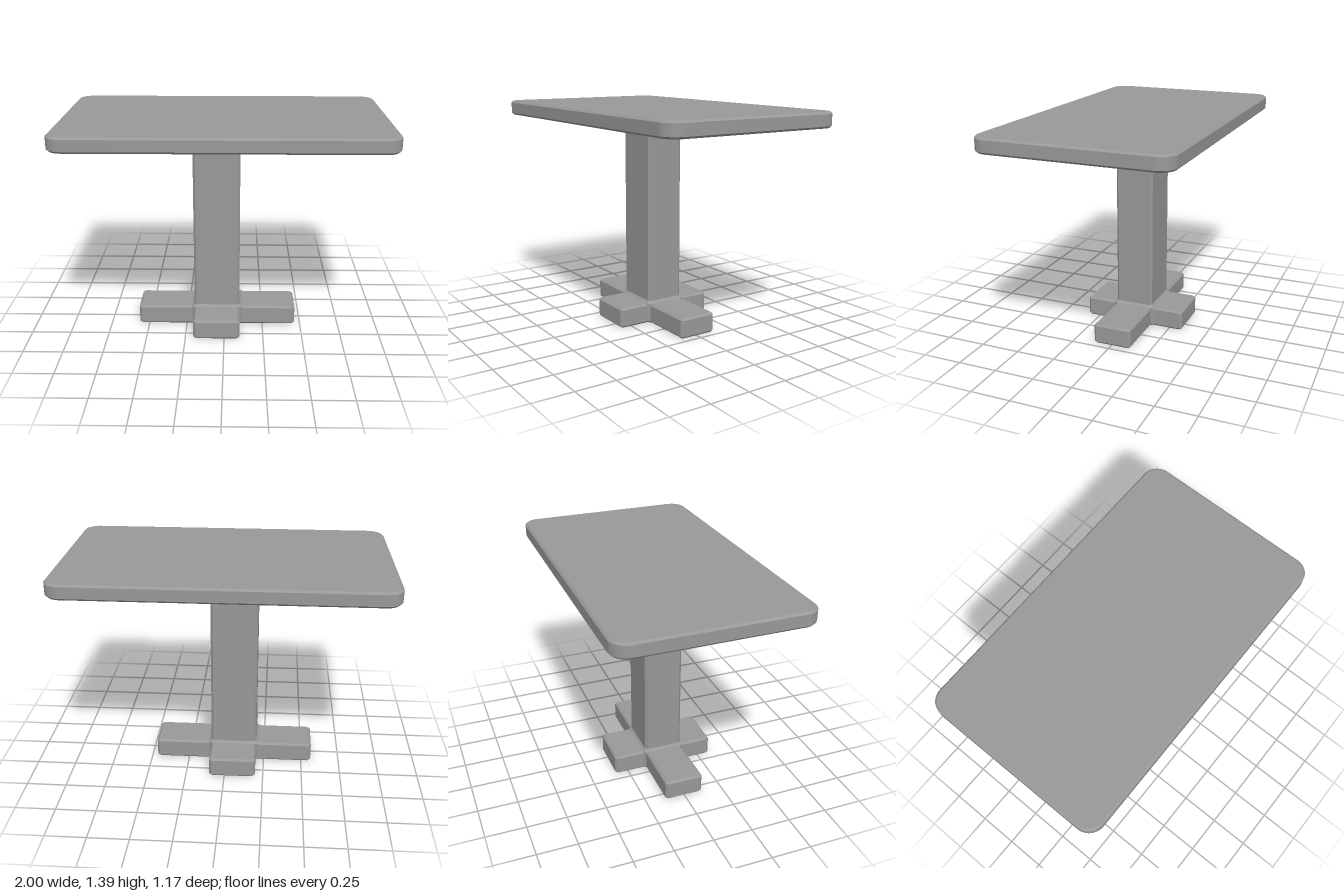
import * as THREE from 'three';
import { toCreasedNormals } from 'three/addons/utils/BufferGeometryUtils.js';

const BEVEL = 0.012;
const CENTRE = [-0.05, -0.005]; // x, z of the pedestal

// Horizontal slab of a given outline with chamfered top and bottom rims
function slab(shape, bottom, top) {
  const geo = new THREE.ExtrudeGeometry(shape, {
    depth: top - bottom - 2 * BEVEL, bevelEnabled: true, bevelSegments: 1,
    bevelThickness: BEVEL, bevelSize: BEVEL, bevelOffset: -BEVEL, curveSegments: 10,
  });
  return toCreasedNormals(geo.rotateX(-Math.PI / 2).translate(0, bottom + BEVEL, 0), 0.5);
}

// Mirrors the outline of one quadrant (running from +x to +y) into all four
function fourFold(points) {
  const flip = (sx, sy) => points.map(([x, y]) => [x * sx, y * sy]);
  return [...points, ...flip(-1, 1).reverse(), ...flip(-1, -1), ...flip(1, -1).reverse()];
}

function roundedRect(hx, hy, r) {
  const s = new THREE.Shape();
  s.absarc(hx - r, hy - r, r, 0, Math.PI / 2);
  s.absarc(-hx + r, hy - r, r, Math.PI / 2, Math.PI);
  s.absarc(-hx + r, -hy + r, r, Math.PI, Math.PI * 1.5);
  s.absarc(hx - r, -hy + r, r, Math.PI * 1.5, Math.PI * 2);
  s.closePath();
  return s;
}

// Open-ended post with chamfered corners; each level is [y, outward flare]
function post(hx, hz, chamfer, levels) {
  const pos = [], index = [], n = 8;
  for (const [y, f] of levels) {
    const ring = fourFold([[hx + f, hz + f - chamfer], [hx + f - chamfer, hz + f]]);
    for (const [x, z] of ring) pos.push(x, y, -z);
  }
  for (let l = 0; l < levels.length - 1; l++) {
    for (let i = 0; i < n; i++) {
      const a = l * n + i, b = l * n + (i + 1) % n;
      index.push(a, b, b + n, a, b + n, a + n);
    }
  }
  const geo = new THREE.BufferGeometry();
  geo.setAttribute('position', new THREE.Float32BufferAttribute(pos, 3));
  geo.setIndex(index);
  const flat = geo.toNonIndexed();
  flat.computeVertexNormals();
  return flat;
}

export function createModel() {
  const model = new THREE.Group();
  model.name = 'pedestalTable';
  const grey = new THREE.MeshStandardMaterial({ color: 0x999999 });
  grey.name = 'grey';

  const add = (name, geo, x = 0, z = 0) => {
    const mesh = new THREE.Mesh(geo, grey);
    mesh.name = name;
    mesh.position.set(x, 0, z);
    model.add(mesh);
  };

  // Table top
  add('tableTop', slab(roundedRect(1, 0.584, 0.1), 1.297, 1.39));

  // Column, flared where it meets the foot and the top
  const w = 0.148, d = 0.122, c = 0.014;
  add('column', post(w, d, c, [[0.117, c], [0.129, c], [0.143, 0], [1.284, 0], [1.298, c]]), ...CENTRE);

  // Cross-shaped foot with chamfered ends and inner corners
  const lx = 0.513, lz = 0.332;
  const cross = fourFold([
    [lx, d - c], [lx - c, d], [w + c, d], [w, d + c], [w, lz - c], [w - c, lz],
  ]).map(([x, y]) => new THREE.Vector2(x, y));
  add('crossFoot', slab(new THREE.Shape(cross), 0, 0.129), ...CENTRE);

  return model;
}
